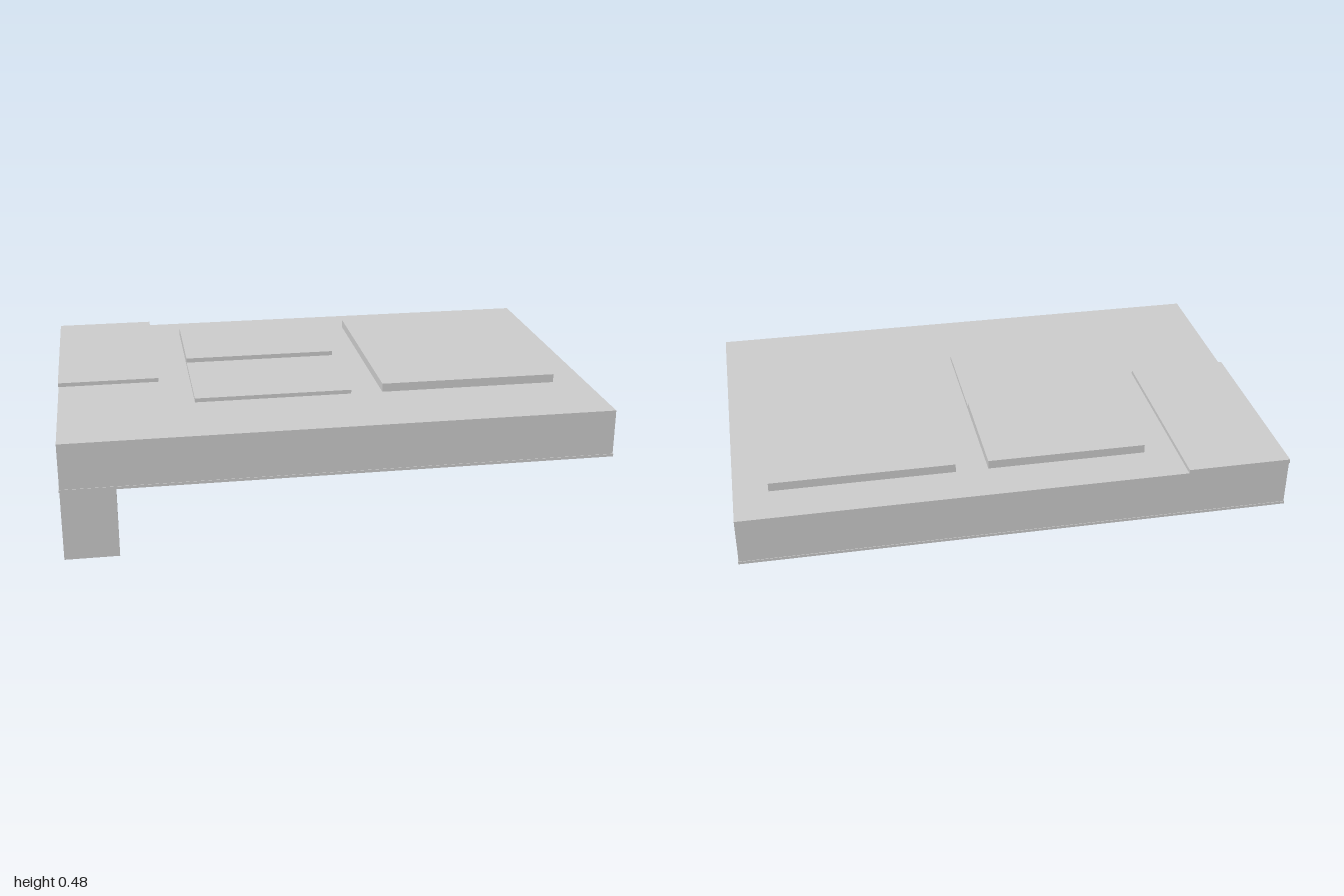
import * as THREE from 'three';

export function createModel() {
  const model = new THREE.Group();
  const grey = new THREE.MeshStandardMaterial({ color: 0xcccccc });
  grey.name = 'light grey';

  // Box given by its limits on each axis
  function block(name, [x0, x1], [y0, y1], [z0, z1], parent = model) {
    const mesh = new THREE.Mesh(new THREE.BoxGeometry(x1 - x0, y1 - y0, z1 - z0), grey);
    mesh.position.set((x0 + x1) / 2, (y0 + y1) / 2, (z0 + z1) / 2);
    mesh.name = name;
    parent.add(mesh);
    return mesh;
  }

  // Main storey: base plate and walls with a flat roof
  block('basePlate', [-1, 1], [0.268, 0.278], [-0.667, 0.667]);
  block('mainStorey', [-0.998, 0.998], [0.278, 0.447], [-0.665, 0.665]);

  // Raised roof panels
  block('cornerRoofPanel', [-1, -0.62], [0.447, 0.462], [-0.667, 0.083]);
  block('middleRoofPanelFront', [-0.5, 0.085], [0.447, 0.462], [-0.083, 0.333]);
  block('middleRoofPanelBack', [-0.5, 0.085], [0.447, 0.479], [-0.5, -0.083]);
  block('sideRoofPanel', [0.204, 0.873], [0.447, 0.479], [-0.5, 0.333]);

  // Small box hanging under the storey
  block('hangingBox', [-0.25, -0.125], [0.228, 0.268], [-0.373, -0.247]);
  block('hangingBoxBase', [-0.248, -0.127], [0.219, 0.228], [-0.371, -0.249]);

  // Hollow stair tower under the front corner
  const tower = new THREE.Group();
  tower.name = 'stairTower';
  model.add(tower);
  const t = 0.012;
  const [x0, x1, z0, z1] = [-0.998, -0.804, 0.085, 0.665];
  block('outerWall', [x0, x0 + t], [0.01, 0.268], [z0, z1], tower);
  block('innerWall', [x1 - t, x1], [0.01, 0.268], [z0, z1], tower);
  block('frontWall', [x0 + t, x1 - t], [0.01, 0.268], [z1 - t, z1], tower);
  block('towerFloor', [x0, x1], [0, 0.01], [z0, 0.375], tower);

  // Back wall with a doorway
  const wall = new THREE.Shape();
  wall.moveTo(x0 + t, 0.01).lineTo(-0.947, 0.01).lineTo(-0.947, 0.15).lineTo(-0.885, 0.15);
  wall.lineTo(-0.885, 0.01).lineTo(x1 - t, 0.01).lineTo(x1 - t, 0.268).lineTo(x0 + t, 0.268);
  const back = new THREE.Mesh(new THREE.ExtrudeGeometry(wall, { depth: t, bevelEnabled: false }), grey);
  back.position.z = z0;
  back.name = 'doorWall';
  tower.add(back);

  // Stairs climbing towards the front
  for (let i = 0; i < 6; i++) {
    const z = 0.375 + i * 0.042;
    const y = 0.01 + i * 0.042;
    block('step', [x0 + t, x1 - t], [y, y + 0.042], [z, z + 0.042], tower);
  }
  return model;
}
